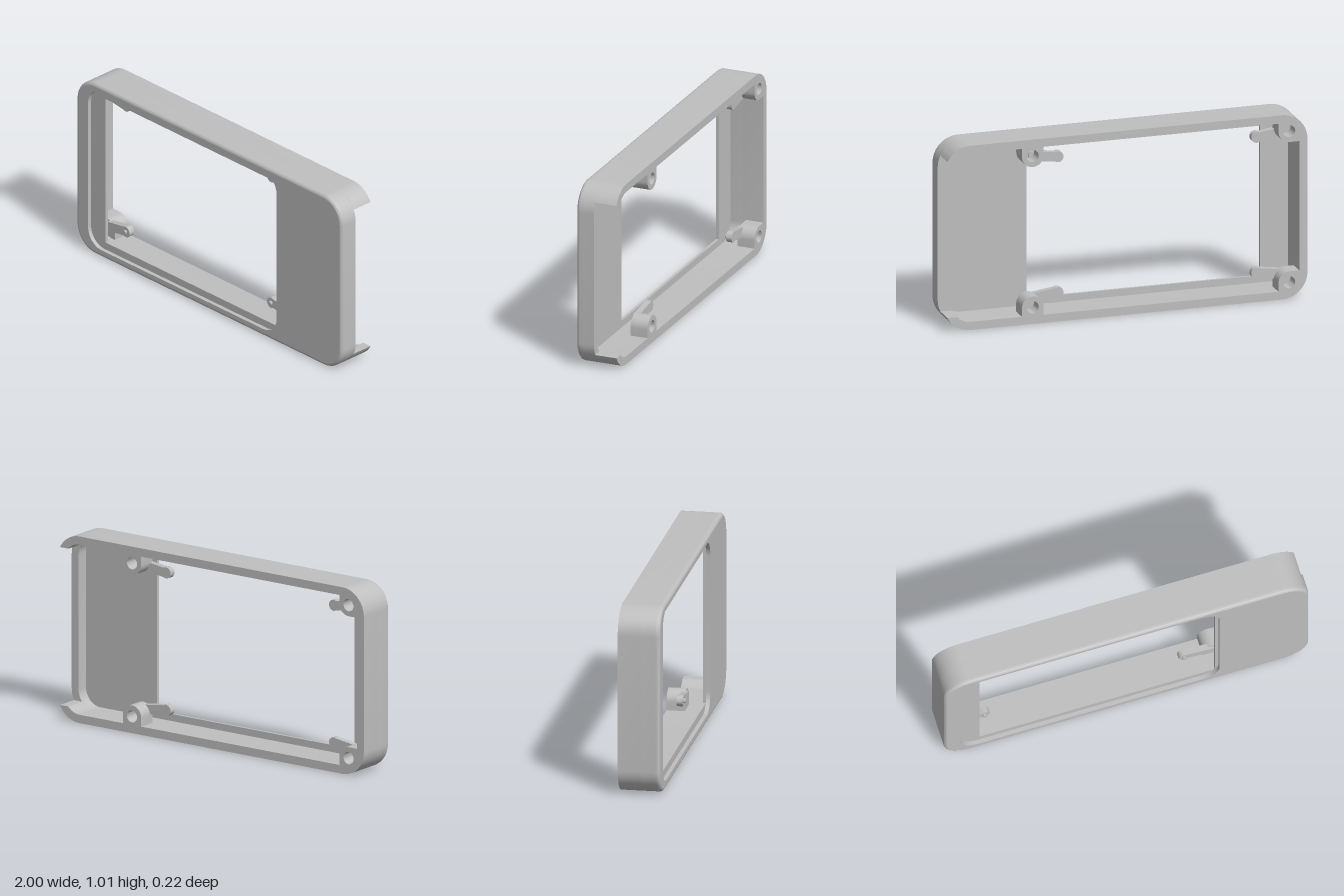
import * as THREE from 'three';
import { toCreasedNormals } from 'three/addons/utils/BufferGeometryUtils.js';

const H = 1.013, BACK = -0.112, FRONT = 0.112;
const CUT = 0.01, PLATE_BACK = 0.075, PLATE_FRONT = 0.09, FILLET = 0.018;

// Counter-clockwise points of a rounded rectangle, from angle a0 of the
// top right corner round to -a0 of the bottom right corner.
function roundRect(x0, x1, y0, y1, r, a0 = 0) {
  const pts = [], n = 14, q = Math.PI / 2;
  const centres = [[x1 - r, y1 - r], [x0 + r, y1 - r], [x0 + r, y0 + r], [x1 - r, y0 + r]];
  centres.forEach(([cx, cy], k) => {
    const from = k * q + (k === 0 ? a0 : 0), to = (k + 1) * q - (k === 3 ? a0 : 0);
    for (let i = 0; i <= n; i++) {
      const a = from + (to - from) * i / n;
      pts.push(new THREE.Vector2(cx + r * Math.cos(a), cy + r * Math.sin(a)));
    }
  });
  return pts;
}
const outline = (inset, a0) => roundRect(-1 + inset, 1 - inset, inset, H - inset, 0.14 - inset, a0);
const rect = (x0, x1, y0, y1) => [[x0, y0], [x1, y0], [x1, y1], [x0, y1]].map(p => new THREE.Vector2(...p));

function slab(pts, holes, z0, z1) {
  const shape = new THREE.Shape(pts);
  shape.holes = holes.map(h => new THREE.Path(h));
  const g = new THREE.ExtrudeGeometry(shape, { depth: z1 - z0, bevelEnabled: false });
  g.translate(0, 0, z0);
  return toCreasedNormals(g, 0.6);
}

// Skin through closed rings, facing outwards as z grows
function loft(rings) {
  const pos = [], idx = [], n = rings[0].pts.length;
  rings.forEach(({ pts, z }) => pts.forEach(p => pos.push(p.x, p.y, z)));
  for (let k = 0; k < rings.length - 1; k++) {
    for (let i = 0; i < n; i++) {
      const j = (i + 1) % n, a = k * n + i, b = k * n + j;
      idx.push(a, b, b + n, a, b + n, a + n);
    }
  }
  const g = new THREE.BufferGeometry();
  g.setAttribute('position', new THREE.Float32BufferAttribute(pos, 3));
  g.setIndex(idx);
  return toCreasedNormals(g, 0.6);
}

export function createModel() {
  const model = new THREE.Group();
  model.name = 'displayBezel';
  const grey = new THREE.MeshStandardMaterial({ color: 0xbfbfbf });
  grey.name = 'grey plastic';
  const add = (name, geometry, parent = model) => {
    const mesh = new THREE.Mesh(geometry, grey);
    mesh.name = name;
    parent.add(mesh);
  };

  const wall = 0.045;
  const recess = roundRect(-0.91, 0.51, 0.042, 0.98, 0.1);
  const opening = rect(-0.8, 0.49, 0.083, 0.937);

  // Rear wall, open on the right side
  const cutAngle = r => Math.asin(0.062 / r);
  const outer = outline(0, cutAngle(0.14));
  const inner = outline(wall, cutAngle(0.14 - wall)).reverse();
  add('rearWall', slab([...outer, ...inner], [], BACK, CUT));

  // Closed wall in front of the cutout, and the plate with its window
  add('frontWall', slab(outline(0), [outline(wall)], CUT, PLATE_BACK));
  add('windowPlate', slab(outline(0), [opening], PLATE_BACK, PLATE_FRONT));

  // Rounded front edge, front face and sides of the recess
  const edge = [{ pts: outline(0), z: PLATE_FRONT }];
  for (let i = 0; i <= 6; i++) {
    const a = i / 6 * Math.PI / 2;
    edge.push({ pts: outline(FILLET * (1 - Math.cos(a))), z: FRONT - FILLET * (1 - Math.sin(a)) });
  }
  add('roundedEdge', loft(edge));
  const face = new THREE.Shape(outline(FILLET));
  face.holes = [new THREE.Path(recess)];
  add('frontFace', new THREE.ShapeGeometry(face).translate(0, 0, FRONT));
  add('recessSides', loft([{ pts: recess, z: FRONT }, { pts: recess, z: PLATE_FRONT }]));

  // Screw bosses with clip arms, mirrored top to bottom
  const r = 0.06, cy = 0.922;
  const bosses = [
    { side: 'left', x: 0.515, tip: 0.35, wallPts: [[0.455, 0.98], [0.575, 0.98]], full: true },
    { side: 'right', x: -0.9, tip: -0.745, wallPts: [[-0.97, cy - r], [-0.97, 0.88], [-0.94, 0.945], [-0.88, 0.98], [-0.84, 0.98]], full: false },
  ];
  for (const b of bosses) {
    for (const top of [true, false]) {
      const group = new THREE.Group();
      group.name = `${b.side}${top ? 'Upper' : 'Lower'}Mount`;
      model.add(group);
      const at = (x, y) => new THREE.Vector2(x, top ? y : H - y);
      const arc = (cx, y, rad, from, to, n = 16) => Array.from({ length: n + 1 }, (_, i) => {
        const a = from + (to - from) * i / n;
        return at(cx + rad * Math.cos(a), y + rad * Math.sin(a));
      });

      // Boss: round towards the window, straight towards the wall
      const body = [...b.wallPts.map(p => at(...p)), ...arc(b.x, cy, r, 0, b.full ? -Math.PI : -Math.PI / 2)];
      const hole = arc(b.x, cy, 0.033, 0, Math.PI * 2, 24).slice(0, -1);
      add('boss', slab(body, [hole], BACK, -0.03), group);
      add('bossEnd', slab(body, [], -0.03, -0.015), group);

      // Arm with a rounded tip and a locating pin
      const dir = Math.sign(b.tip - b.x), tipY = 0.88, mid = dir > 0 ? 0 : Math.PI;
      const arm = [
        at(b.x, 0.9 - dir * 0.026),
        ...arc(b.tip, tipY, 0.03, mid - 2.1, mid + 2.1),
        at(b.x, 0.9 + dir * 0.026),
      ];
      add('clipArm', slab(arm, [], -0.035, -0.002), group);
      const pin = arc(b.tip, tipY, 0.012, 0, Math.PI * 2, 16).slice(0, -1);
      add('pin', slab(pin, [], -0.002, 0.01), group);
    }
  }
  return model;
}
